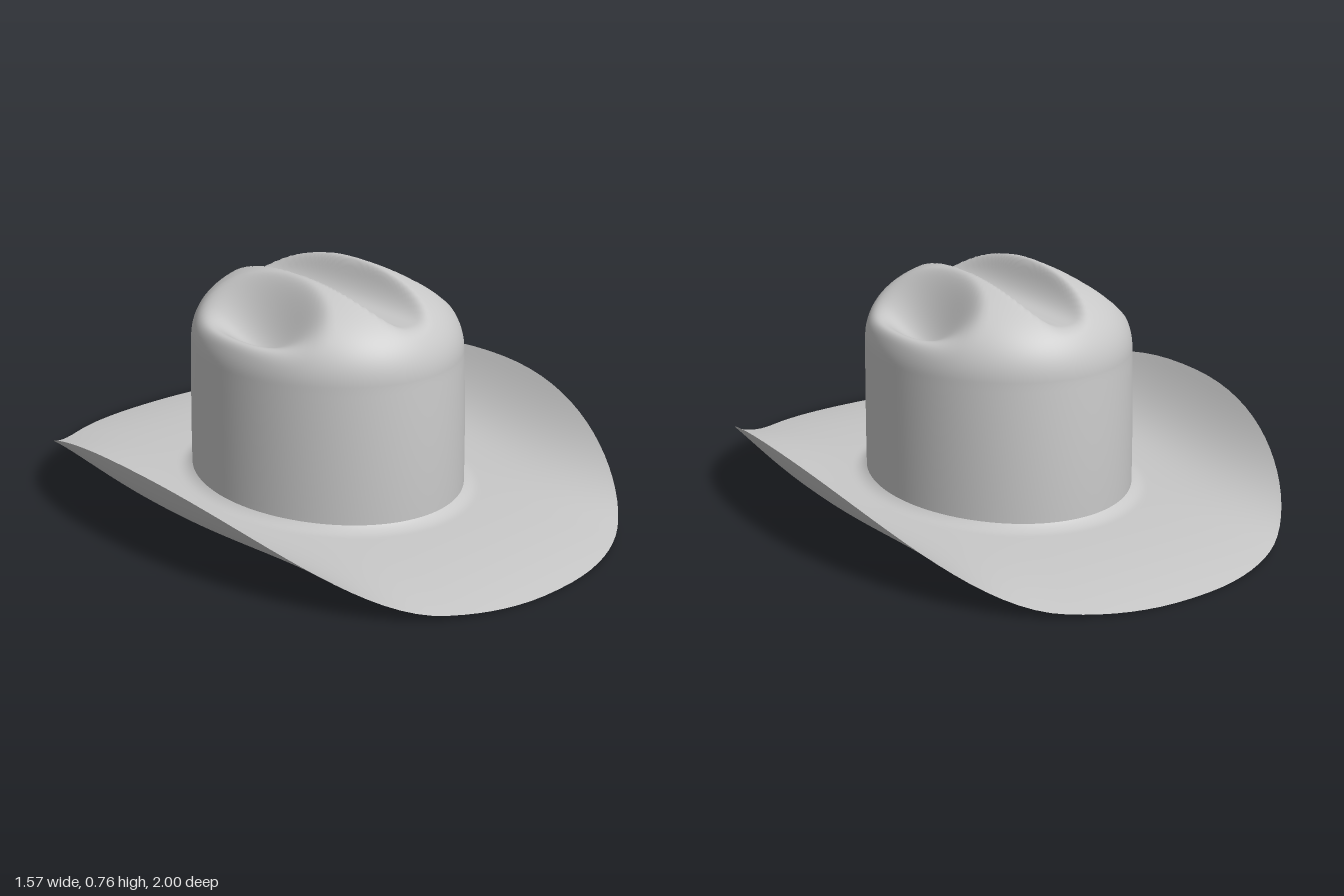
import * as THREE from 'three';

const SEGMENTS = 112;

// Closed-ring surface: point(t, angle) runs from the lowest/outermost ring to the highest/innermost.
function ringSurface(rings, point) {
  const positions = [], indices = [];
  for (let i = 0; i <= rings; i++) {
    for (let j = 0; j < SEGMENTS; j++) {
      positions.push(...point(i / rings, (j / SEGMENTS) * Math.PI * 2));
    }
  }
  for (let i = 0; i < rings; i++) {
    for (let j = 0; j < SEGMENTS; j++) {
      const k = (j + 1) % SEGMENTS;
      const a = i * SEGMENTS + j, b = i * SEGMENTS + k;
      const c = a + SEGMENTS, d = b + SEGMENTS;
      indices.push(a, c, b, b, c, d);
    }
  }
  const geometry = new THREE.BufferGeometry();
  geometry.setAttribute('position', new THREE.Float32BufferAttribute(positions, 3));
  geometry.setIndex(indices);
  geometry.computeVertexNormals();
  return geometry;
}

const power = (v, p) => Math.sign(v) * Math.pow(Math.abs(v), p);
const lerp = THREE.MathUtils.lerp;

function smoothMin(a, b, k) {
  const h = Math.max(k - Math.abs(a - b), 0) / k;
  return Math.min(a, b) - h * h * k * 0.25;
}

// Brim: flat by the crown, its edge curled up at both sides, dipping at front and back
function brimPoint(t, angle) {
  const c = Math.cos(angle), s = Math.sin(angle);
  const f = Math.pow(1 - t, 1.5);
  const edgeX = 0.785 * power(c, 2 / 2.25), edgeZ = power(s, 2 / 2.25);
  const x = lerp(0.41 * c, edgeX, f);
  const z = lerp(0.49 * s, edgeZ, f);
  const edgeCurl = 0.235 * Math.pow(Math.max(0, Math.abs(edgeX) - 0.38) / 0.405, 2);
  const gap = Math.hypot(x - 0.41 * c, z - 0.49 * s);
  const fillet = 0.018 * Math.pow(Math.max(0, 1 - gap / 0.055), 2.5);
  return [x, 0.05 - 0.05 * z ** 4 + edgeCurl * f ** 3 + fillet, z];
}

const jointHeight = (angle) => brimPoint(1, angle)[1];

// Side pinch: an oval hollow on each shoulder of the crown
function pinch(x, z) {
  const dx = Math.abs(x) - 0.28;
  const u = (dx / (dx > 0 ? 0.12 : 0.14)) ** 2 + (z / 0.285) ** 2;
  return 0.14 * Math.pow(Math.max(0, 1 - u), 1.7);
}

// Crown: a slightly tapering wall that rounds over into a creased dome
const WALL = 0.25;
function crownPoint(t, angle) {
  const c = Math.cos(angle), s = Math.sin(angle);
  if (t < WALL) {
    const w = t / WALL;
    return [0.41 * c, lerp(jointHeight(angle), 0.5, w), (0.49 - 0.02 * w ** 1.8) * s];
  }
  const phi = ((1 - t) / (1 - WALL)) * Math.PI / 2;
  const radius = power(Math.sin(phi), 2 / 2.2);
  const x = 0.41 * radius * c, z = 0.47 * radius * s;
  const dome = 0.5 + 0.265 * power(Math.cos(phi), 2 / 2.2) - pinch(x, z);
  const crease = 0.647 + 0.1 * Math.pow(Math.abs(x) / 0.115, 3);
  return [x, smoothMin(dome, crease, 0.025), z];
}

export function createModel() {
  const felt = new THREE.MeshStandardMaterial({ color: 0xc8c8c8, side: THREE.DoubleSide });
  felt.name = 'grey felt';

  const hat = new THREE.Group();
  hat.name = 'hat';
  const parts = [
    ['brim', ringSurface(40, brimPoint)],
    ['crown', ringSurface(80, crownPoint)],
  ];
  for (const [name, geometry] of parts) {
    const mesh = new THREE.Mesh(geometry, felt);
    mesh.name = name;
    hat.add(mesh);
  }
  return hat;
}
